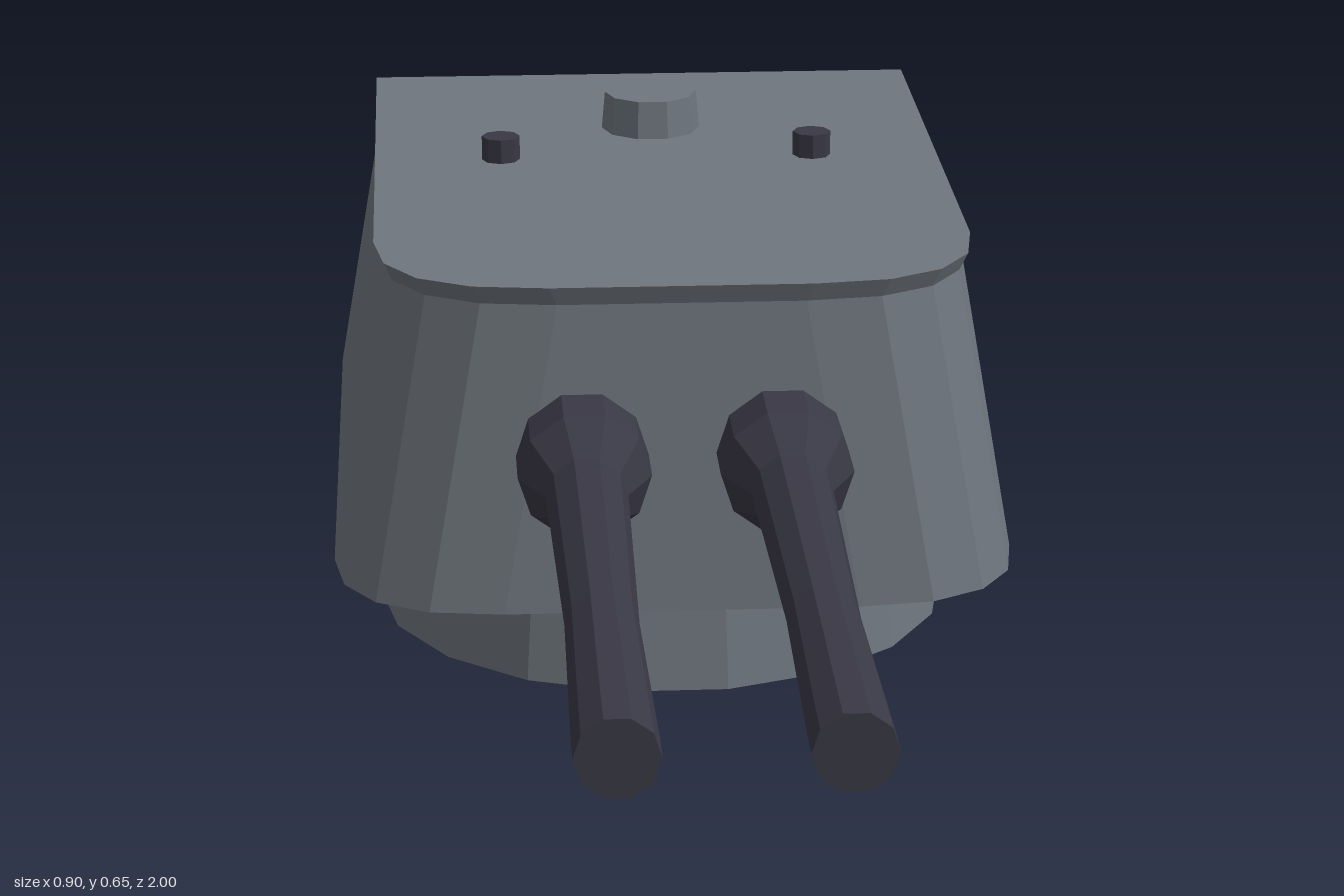
import * as THREE from 'three';

const steel = new THREE.MeshStandardMaterial({ color: 0x6f767e });
steel.name = 'steel grey';
const gunmetal = new THREE.MeshStandardMaterial({ color: 0x393845 });
gunmetal.name = 'dark gunmetal';

// One normal per face for a crisp faceted look
function facet(geometry) {
  const g = geometry.index ? geometry.toNonIndexed() : geometry;
  g.computeVertexNormals();
  return g;
}

function addPart(parent, name, geometry, material, x = 0, y = 0, z = 0) {
  const mesh = new THREE.Mesh(facet(geometry), material);
  mesh.name = name;
  mesh.position.set(x, y, z);
  parent.add(mesh);
  return mesh;
}

// Upright drum with corners on the x axis, standing on its origin
function drum(rTop, rBottom, height, sides) {
  return new THREE.CylinderGeometry(rTop, rBottom, height, sides, 1, false, Math.PI / 2)
    .translate(0, height / 2, 0);
}

// Housing outline: square at the back, rounded corners at the front
function outline({ y, w, back, front }) {
  const corner = new THREE.QuadraticBezierCurve(
    new THREE.Vector2(w, front - 0.21),
    new THREE.Vector2(w, front),
    new THREE.Vector2(w - 0.22, front)
  ).getPoints(4);
  const right = corner.map((p) => new THREE.Vector3(-p.x, y, p.y));
  const left = corner.map((p) => new THREE.Vector3(p.x, y, p.y)).reverse();
  return [new THREE.Vector3(-w, y, back), ...right, ...left, new THREE.Vector3(w, y, back)];
}

// Capped solid between a lower and an upper outline
function loft(lower, upper) {
  const a = outline(lower), b = outline(upper), n = a.length;
  const points = [];
  for (let i = 0; i < n; i++) {
    const j = (i + 1) % n;
    points.push(a[i], a[j], b[j], a[i], b[j], b[i]);
  }
  for (let i = 1; i < n - 1; i++) {
    points.push(b[0], b[i], b[i + 1], a[0], a[i + 1], a[i]);
  }
  return new THREE.BufferGeometry().setFromPoints(points);
}

export function createModel() {
  const model = new THREE.Group();
  model.name = 'gunTurret';

  // Turning base
  addPart(model, 'base', drum(0.373, 0.392, 0.172, 18), steel, 0, 0, -0.467);

  // Sloped armoured housing and its flared roof plate
  const bottom = { y: 0.168, w: 0.448, back: -0.992, front: 0.056 };
  const eave = { y: 0.575, w: 0.377, back: -0.985, front: 0.036 };
  const top = { y: 0.6, w: 0.387, back: -1, front: 0.045 };
  addPart(model, 'housing', loft(bottom, eave), steel);
  addPart(model, 'roof', loft(eave, top), steel);

  // Roof hatch
  addPart(model, 'hatch', drum(0.064, 0.069, 0.057, 10), steel, 0, 0.595, -0.705);

  // Barrel profile: radius and distance along z
  const profile = [
    [0, 0], [0.084, 0], [0.084, 0.125], [0.051, 0.195],
    [0.043, 0.62], [0.048, 0.95], [0.048, 1], [0, 1],
  ].map(([r, z]) => new THREE.Vector2(r, z));

  for (const [label, side] of [['left', 1], ['right', -1]]) {
    const barrel = new THREE.LatheGeometry(profile, 10, Math.PI / 2).rotateX(Math.PI / 2);
    addPart(model, label + 'Barrel', barrel, gunmetal, side * 0.127, 0.378, 0);
    addPart(model, label + 'Periscope', drum(0.026, 0.026, 0.038, 8), gunmetal, side * 0.214, 0.595, -0.55);
  }

  return model;
}
